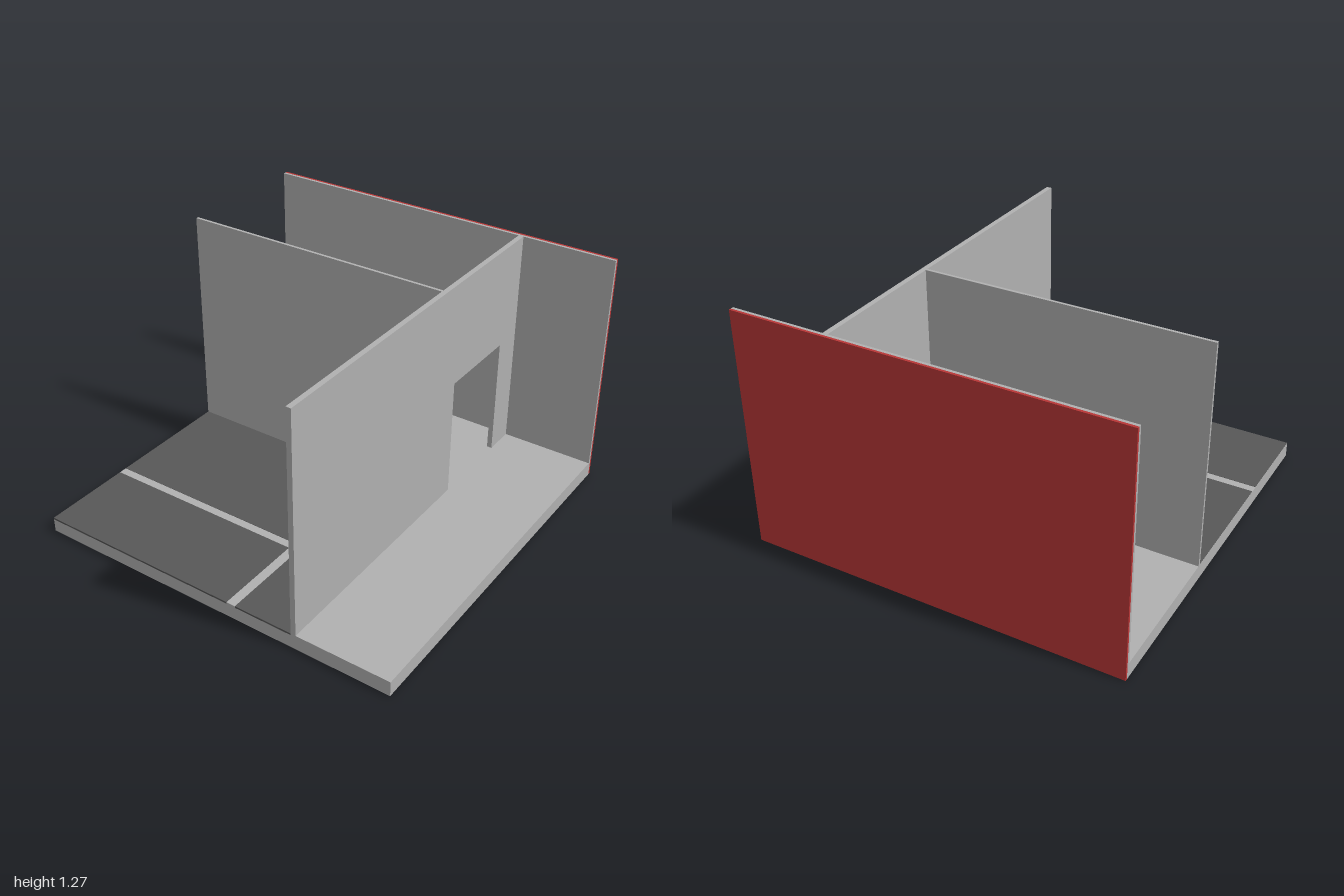
import * as THREE from 'three';

export function createModel() {
  const model = new THREE.Group();
  const plaster = new THREE.MeshStandardMaterial({ color: 0xb0b0b0 });
  plaster.name = 'grey plaster';
  const paving = new THREE.MeshStandardMaterial({ color: 0x575757 });
  paving.name = 'dark paving';
  const cladding = new THREE.MeshStandardMaterial({ color: 0xb83636 });
  cladding.name = 'red cladding';

  const FLOOR = 0.08, TOP = 1.27, BACK = -0.972;

  // Box given by its lower and upper corners
  function block(name, material, [x0, y0, z0], [x1, y1, z1]) {
    const geometry = new THREE.BoxGeometry(x1 - x0, y1 - y0, z1 - z0);
    const mesh = new THREE.Mesh(geometry, material);
    mesh.position.set((x0 + x1) / 2, (y0 + y1) / 2, (z0 + z1) / 2);
    mesh.name = name;
    model.add(mesh);
  }

  // Floor slab and back wall with red outer cladding
  block('floorSlab', plaster, [-1, 0, -0.987], [1, FLOOR, 1]);
  block('backWall', plaster, [-1, FLOOR, -0.987], [1, TOP, BACK]);
  block('backCladding', cladding, [-1, 0, -1], [1, TOP, -0.987]);

  // Partition between the two left rooms
  block('partitionWall', plaster, [-1, FLOOR, -0.225], [0.475, TOP, -0.21]);

  // Long wall with a doorway open to the floor; shape x runs along -z
  const outline = new THREE.Shape([
    [-1, FLOOR], [0.335, FLOOR], [0.335, 0.72], [0.805, 0.72],
    [0.805, FLOOR], [-BACK, FLOOR], [-BACK, TOP], [-1, TOP],
  ].map(([x, y]) => new THREE.Vector2(x, y)));
  const wallGeometry = new THREE.ExtrudeGeometry(outline, { depth: 0.027, bevelEnabled: false });
  wallGeometry.rotateY(Math.PI / 2);
  const doorWall = new THREE.Mesh(wallGeometry, plaster);
  doorWall.position.x = 0.475;
  doorWall.name = 'doorwayWall';
  model.add(doorWall);

  // Dark paving set into the floor, leaving a pale L-shaped line
  const plates = [
    ['rearPaving', -0.999, -0.21, 0.475, 0.475],
    ['sidePaving', 0.16, 0.475, 0.475, 1.001],
    ['cornerPaving', -0.999, 0.52, 0.11, 1.001],
  ];
  for (const [name, x0, z0, x1, z1] of plates) {
    block(name, paving, [x0, FLOOR - 0.008, z0], [x1, FLOOR + 0.0015, z1]);
  }

  return model;
}
